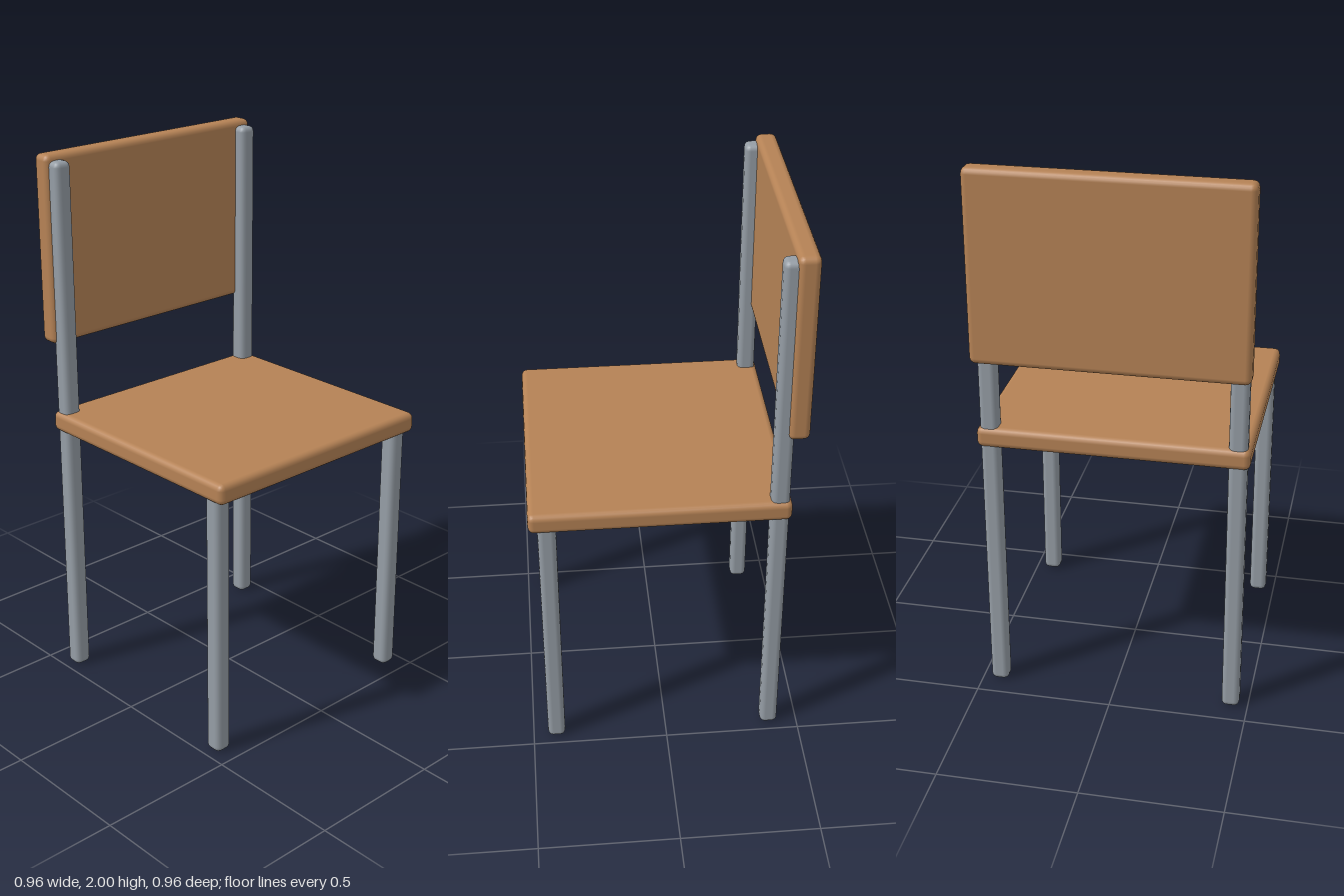
import * as THREE from 'three';
import { RoundedBoxGeometry } from 'three/addons/geometries/RoundedBoxGeometry.js';

export function createModel() {
  const chair = new THREE.Group();
  chair.name = 'chair';
  const wood = new THREE.MeshStandardMaterial({ color: 0xb58255 });
  const metal = new THREE.MeshStandardMaterial({ color: 0x959da5 });

  // Softly rounded block spanning two opposite corners
  function block(name, min, max, radius, material) {
    const size = max.map((v, i) => v - min[i]);
    const mesh = new THREE.Mesh(new RoundedBoxGeometry(...size, 2, radius), material);
    mesh.position.set(...max.map((v, i) => (v + min[i]) / 2));
    mesh.name = name;
    chair.add(mesh);
  }

  // Wooden panels
  block('seat', [-0.48, 0.98, -0.435], [0.48, 1.055, 0.478], 0.022, wood);
  block('backrest', [-0.48, 1.315, -0.478], [0.48, 2, -0.403], 0.022, wood);

  // Legs; the rear pair runs up as posts in front of the backrest
  const half = 0.0325;
  for (const [side, s] of [['left', 1], ['right', -1]]) {
    const x = s * 0.436;
    block(side + 'FrontLeg', [x - half, 0, 0.381], [x + half, 1.0, 0.446], 0.02, metal);
    block(side + 'RearPost', [x - half, 0, -0.426], [x + half, 1.98, -0.361], 0.02, metal);
  }
  return chair;
}
